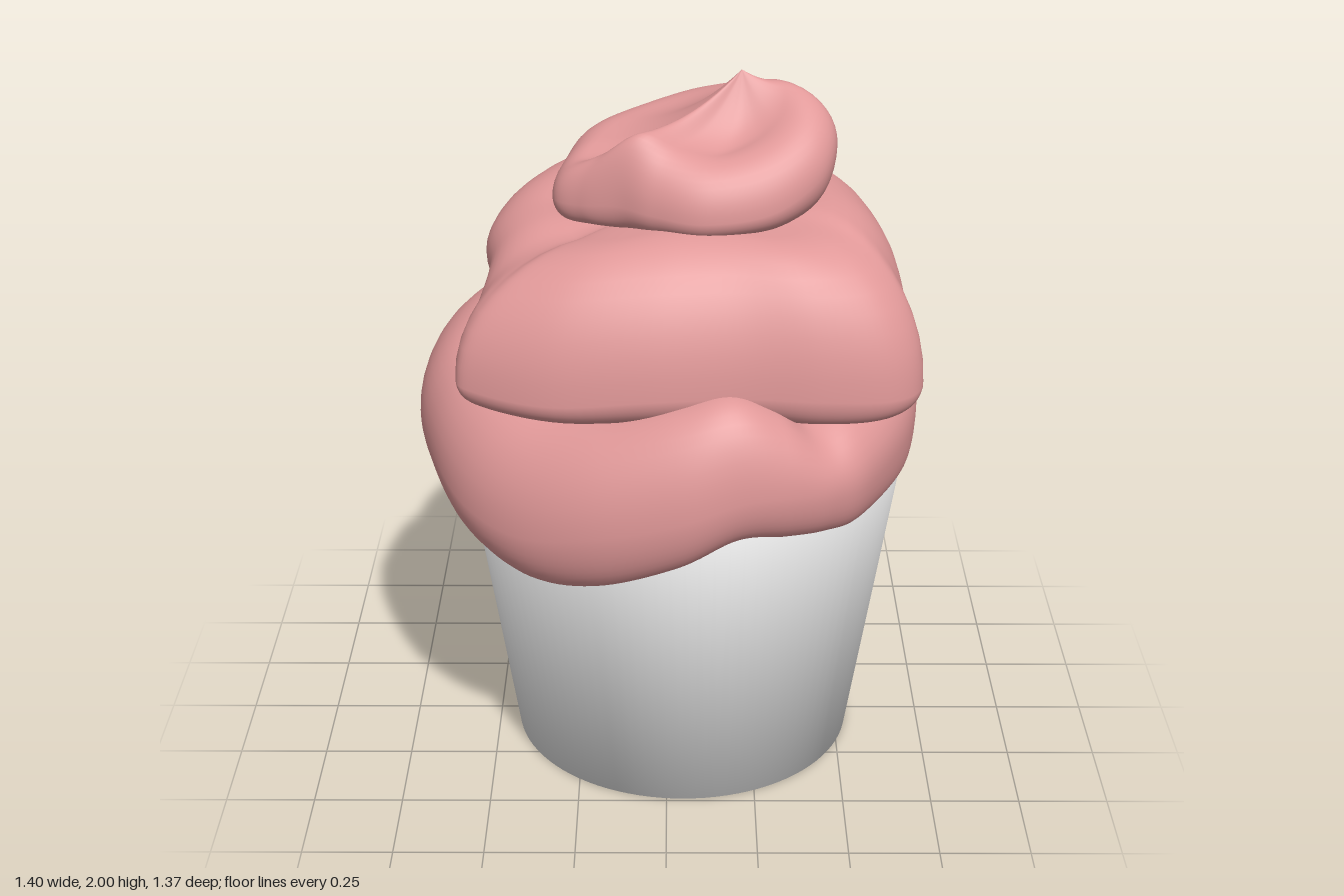
import * as THREE from 'three';

// Each row of a swirl layer, in order back, left, front, right:
// [x, z, bottom y, widest y, top y, top rounding, bottom rounding]
const LOWER = [
  [0, -.69, .95, 1.1, 1.31, .2, .1], [.27, -.64, .95, 1.1, 1.31, .2, .08],
  [.49, -.49, .95, 1.1, 1.31, .2, .05], [.645, -.26, .95, 1.1, 1.31, .2, .03],
  [.7, -.02, .95, 1.09, 1.29, .2, .02], [.675, .23, .91, 1.06, 1.25, .2, .03],
  [.55, .47, .87, 1.02, 1.2, .2, .06], [.45, .56, .87, 1.01, 1.17, .2, .07],
  [.34, .615, .875, 1.02, 1.23, .17, .08], [.2, .655, .88, 1.02, 1.27, .15, .08],
  [.03, .68, .81, .97, 1.24, .17, .08], [-.2, .645, .735, .91, 1.19, .2, .09],
  [-.4, .55, .71, .87, 1.18, .24, .1], [-.56, .4, .75, .9, 1.2, .24, .11],
  [-.66, .2, .8, .98, 1.24, .22, .12], [-.7, 0, .86, 1.02, 1.27, .2, .12],
  [-.645, -.26, .91, 1.06, 1.29, .2, .12], [-.49, -.49, .93, 1.08, 1.31, .2, .12],
  [-.26, -.64, .95, 1.1, 1.31, .2, .12],
];
const MIDDLE = [
  [.05, -.545, 1.3, 1.49, 1.675, .2, .16], [.26, -.5, 1.3, 1.49, 1.675, .2, .16],
  [.44, -.37, 1.3, 1.48, 1.675, .2, .16], [.56, -.18, 1.3, 1.47, 1.675, .2, .16],
  [.63, .08, 1.27, 1.41, 1.67, .22, .14], [.655, .28, 1.22, 1.31, 1.66, .28, .1],
  [.68, .4, 1.19, 1.25, 1.64, .36, .06], [.6, .485, 1.17, 1.24, 1.63, .33, .06],
  [.42, .52, 1.17, 1.25, 1.63, .26, .06], [.2, .52, 1.18, 1.26, 1.64, .25, .08],
  [-.05, .545, 1.18, 1.26, 1.64, .27, .08], [-.3, .53, 1.175, 1.24, 1.62, .29, .07],
  [-.5, .46, 1.19, 1.25, 1.6, .35, .06], [-.56, .4, 1.21, 1.27, 1.58, .38, .06],
  [-.52, .27, 1.23, 1.35, 1.58, .29, .1], [-.485, .1, 1.27, 1.45, 1.6, .2, .14],
  [-.505, -.08, 1.3, 1.46, 1.61, .2, .16], [-.455, -.25, 1.31, 1.48, 1.64, .2, .16],
  [-.335, -.4, 1.31, 1.49, 1.67, .2, .16], [-.16, -.51, 1.31, 1.49, 1.675, .2, .16],
];
const UPPER = [
  [.05, -.33, 1.66, 1.76, 1.88, .15, .08], [.22, -.28, 1.66, 1.77, 1.92, .16, .08],
  [.34, -.14, 1.66, 1.79, 1.955, .15, .08], [.42, .01, 1.66, 1.82, 1.97, .13, .1],
  [.455, .1, 1.65, 1.82, 1.95, .14, .12], [.41, .21, 1.64, 1.76, 1.9, .14, .1],
  [.28, .295, 1.625, 1.69, 1.85, .14, .07], [.1, .325, 1.62, 1.67, 1.82, .13, .05],
  [-.04, .285, 1.62, 1.68, 1.84, .11, .05], [-.13, .24, 1.62, 1.69, 1.88, .08, .05],
  [-.23, .2, 1.62, 1.68, 1.82, .09, .05], [-.305, .14, 1.62, 1.68, 1.78, .09, .05],
  [-.285, 0, 1.62, 1.7, 1.8, .1, .06], [-.24, -.15, 1.63, 1.72, 1.82, .12, .08],
  [-.12, -.27, 1.65, 1.74, 1.84, .13, .08],
];

// Smooth closed layer: rounded sections that meet at a peak [x, y, z]
function layerGeometry(rows, peak, floorY, power) {
  const closed = (pick) => new THREE.CatmullRomCurve3(
    rows.map((r) => new THREE.Vector3(...pick(r))), true, 'catmullrom', 0.5);
  const rim = closed((r) => [r[0], r[3], r[1]]);
  const heights = closed((r) => [r[2], r[4], 0]);
  const rounding = closed((r) => [r[5], r[6], 0]);
  const N = 144, Q = 10, CAP = 12;
  const positions = [], indices = [];
  let perRing = 0;

  for (let i = 0; i < N; i++) {
    const p = rim.getPoint(i / N), h = heights.getPoint(i / N), c = rounding.getPoint(i / N);
    const dx = peak[0] - p.x, dz = peak[2] - p.z, d = Math.hypot(dx, dz);
    const before = positions.length;
    const put = (inset, y) => positions.push(p.x + dx / d * inset, y, p.z + dz / d * inset);
    // underside
    for (let k = 0; k < 3; k++) {
      const u = k / 3;
      put(d + (c.y - d) * u, floorY + (h.x - floorY) * u);
    }
    // rounded outer wall
    for (let k = -Q; k <= Q; k++) {
      const a = k / Q * Math.PI / 2;
      const depth = k < 0 ? c.y : c.x;
      const rise = k < 0 ? p.y - h.x : h.y - p.y;
      put(depth * (1 - Math.cos(a)), p.y + rise * Math.sin(a));
    }
    // top surface up to the peak
    for (let k = 1; k <= CAP; k++) {
      const u = k / CAP;
      put(c.x + (d - c.x) * u, h.y + (peak[1] - h.y) * Math.pow(u, power));
    }
    perRing = (positions.length - before) / 3;
  }
  for (let i = 0; i < N; i++) {
    for (let k = 0; k < perRing - 1; k++) {
      const a = i * perRing + k, b = ((i + 1) % N) * perRing + k;
      indices.push(a, a + 1, b, b, a + 1, b + 1);
    }
  }
  const g = new THREE.BufferGeometry();
  g.setAttribute('position', new THREE.Float32BufferAttribute(positions, 3));
  g.setIndex(indices);
  g.computeVertexNormals();
  return g;
}

export function createModel() {
  const model = new THREE.Group();
  model.name = 'frostedCup';
  const white = new THREE.MeshStandardMaterial({ name: 'cup white', color: 0xe6e6e6 });
  const pink = new THREE.MeshStandardMaterial({ name: 'frosting pink', color: 0xe09898 });
  const add = (name, geometry, material) => {
    const mesh = new THREE.Mesh(geometry, material);
    mesh.name = name;
    model.add(mesh);
    return mesh;
  };

  // Tapered cup, shaded smoothly across its base and rim
  const profile = [[0, 0], [.49, 0], [.642, .985], [0, .985]];
  const cup = add('cup', new THREE.LatheGeometry(
    profile.map(([r, y]) => new THREE.Vector2(r, y)), 96), white);
  cup.position.x = .046;

  // Three stacked turns of frosting
  add('lowerSwirl', layerGeometry(LOWER, [.03, 1.32, 0], .95, 1), pink);
  add('middleSwirl', layerGeometry(MIDDLE, [.07, 1.66, 0], 1.28, 1), pink);
  add('topSwirl', layerGeometry(UPPER, [.2, 2, .02], 1.64, 2), pink);

  return model;
}
